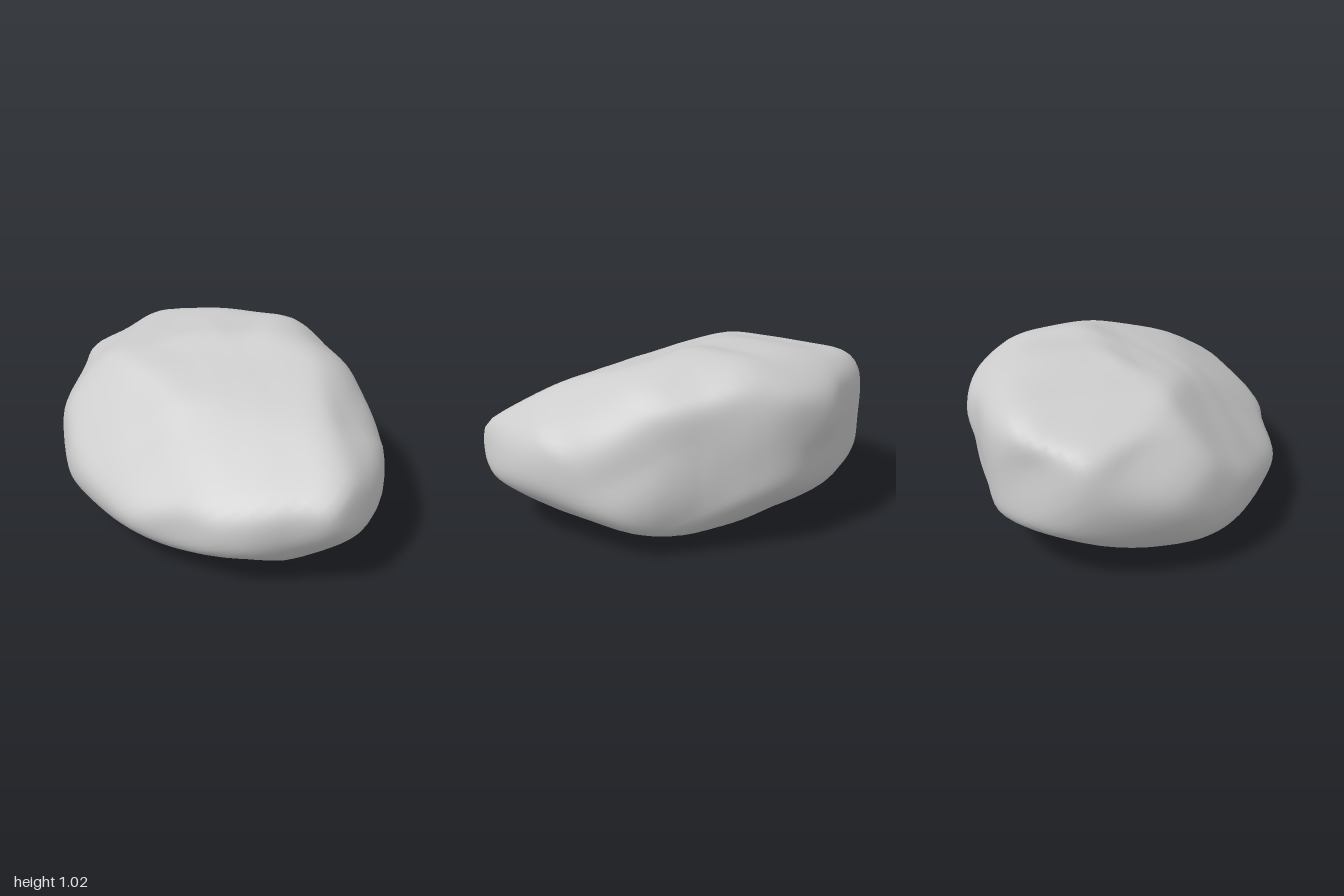
import * as THREE from 'three';
import { mergeVertices } from 'three/addons/utils/BufferGeometryUtils.js';

// The boulder is the rounded common core of six contours, each pushed straight
// through it along one direction. Points are [across, up] from the middle.
const MIDDLE = 0.51;

const FRONT = [
  [1, -.12], [.95, -.22], [.82, -.34], [.6, -.41], [.5, -.44], [.28, -.46], [.1, -.51], [-.2, -.46], [-.4, -.46],
  [-.67, -.4], [-.8, -.39], [-.9, -.29], [-.96, -.15], [-1, -.01], [-.98, .19], [-.92, .26], [-.77, .31],
  [-.63, .39], [-.4, .43], [-.15, .49], [.1, .49], [.23, .52], [.33, .5], [.55, .44], [.72, .36], [.81, .25],
  [.9, .18], [.97, .04],
];
const SIDE = [
  [.93, .17], [.88, .32], [.8, .41], [.65, .47], [.5, .5], [.23, .51], [0, .43], [-.2, .37], [-.4, .3], [-.56, .22],
  [-.76, .1], [-.86, .01], [-.9, -.05], [-.93, -.16], [-.91, -.3], [-.82, -.37], [-.62, -.44], [-.4, -.45],
  [-.14, -.51], [.06, -.49], [.24, -.46], [.5, -.41], [.64, -.41], [.8, -.31], [.85, -.16], [.88, .03],
];
const PLAN = [
  [1, -.33], [.95, -.6], [.85, -.78], [.79, -.82], [.6, -.84], [.28, -.925], [.05, -.85], [-.24, -.81], [-.45, -.68],
  [-.66, -.54], [-.79, -.42], [-.95, -.15], [-1, .17], [-.98, .46], [-.67, .78], [-.5, .84], [-.25, .87],
  [-.06, .93], [.15, .86], [.32, .76], [.58, .5], [.86, .27], [.93, .03],
];
const FRONT_SLANT = [
  [-.02, .76], [.19, .73], [.39, .67], [.6, .6], [.7, .46], [.77, .25], [.79, .06], [.86, -.26], [.83, -.4],
  [.58, -.57], [.32, -.65], [.06, -.73], [-.15, -.68], [-.37, -.65], [-.54, -.56], [-.71, -.42], [-.83, -.27],
  [-.89, -.15], [-.86, .08], [-.81, .22], [-.63, .45], [-.56, .57], [-.35, .65], [-.16, .74],
];
const BACK_SLANT = [
  [-.29, .59], [-.48, .53], [-.67, .43], [-.78, .28], [-.8, .11], [-.85, -.06], [-.78, -.23], [-.73, -.32],
  [-.53, -.48], [-.35, -.58], [-.23, -.64], [.34, -.63], [.53, -.6], [.76, -.5], [.85, -.37], [.9, -.24],
  [.85, -.07], [.73, .05], [.55, .2], [.37, .33], [.18, .43], [-.08, .53],
];
const UNDER_SLANT = [
  [.12, .74], [.4, .7], [.63, .63], [.88, .48], [1.02, .33], [1.02, .17], [1.06, -.06], [.93, -.34], [.8, -.48],
  [.6, -.61], [.31, -.68], [-.25, -.69], [-.52, -.63], [-.81, -.5], [-.95, -.36], [-1.14, -.16], [-1.14, -.07],
  [-1.06, .15], [-.94, .3], [-.84, .31], [-.64, .47], [-.44, .6], [-.14, .67],
];

// A contour with the across and up axes of its direction (turn and tilt in degrees)
function contour(points, turn, tilt) {
  const a = THREE.MathUtils.degToRad(turn), e = THREE.MathUtils.degToRad(tilt);
  const curve = new THREE.CatmullRomCurve3(points.map(([u, v]) => new THREE.Vector3(u, v, 0)), true, 'centripetal');
  return {
    outline: curve.getPoints(points.length * 3),
    across: new THREE.Vector3(Math.cos(a), 0, -Math.sin(a)),
    up: new THREE.Vector3(-Math.sin(a) * Math.sin(e), Math.cos(e), -Math.cos(a) * Math.sin(e)),
  };
}

const CONTOURS = [
  contour(FRONT, 0, 0), contour(SIDE, 90, 0), contour(PLAN, 0, 90),
  contour(FRONT_SLANT, 35, 25), contour(BACK_SLANT, 215, 28), contour(UNDER_SLANT, 145, -32),
];

// Distance from the middle to a contour's wall along a direction
function reach({ outline, across, up }, dir) {
  const u = dir.dot(across), v = dir.dot(up);
  for (let i = 0; i < outline.length - 1; i++) {
    const p = outline[i], q = outline[i + 1];
    const fromP = p.x * v - p.y * u, toQ = u * q.y - v * q.x, area = p.x * q.y - p.y * q.x;
    if (fromP * area >= 0 && toQ * area >= 0 && fromP + toQ !== 0) return area / (fromP + toQ);
  }
  return Infinity;
}

// Gentle lumps over the surface
function lumps({ x, y, z }) {
  return 0.6 * Math.sin(6 * x + 3 * z + 1.2) * Math.cos(5 * z - 7 * y)
    + 0.4 * Math.sin(11 * z - 5 * x + 9 * y) * Math.cos(9 * x + 4 * y + 0.6);
}

function boulderGeometry() {
  let geo = new THREE.IcosahedronGeometry(1, 26);
  geo.deleteAttribute('normal');
  geo.deleteAttribute('uv');
  geo = mergeVertices(geo);
  const pos = geo.attributes.position, dir = new THREE.Vector3();
  const sharpness = 30; // how tightly the walls meet
  for (let i = 0; i < pos.count; i++) {
    dir.fromBufferAttribute(pos, i).normalize();
    const sum = CONTOURS.reduce((total, c) => total + reach(c, dir) ** -sharpness, 0);
    const r = 1.02 * sum ** (-1 / sharpness) * (1 + 0.007 * lumps(dir));
    pos.setXYZ(i, dir.x * r, dir.y * r + MIDDLE, dir.z * r);
  }
  geo.computeVertexNormals();
  return geo;
}

export function createModel() {
  const group = new THREE.Group();
  group.name = 'rock';
  const boulder = new THREE.Mesh(boulderGeometry(), new THREE.MeshStandardMaterial({ color: 0xcccccc }));
  boulder.name = 'boulder';
  group.add(boulder);
  return group;
}
